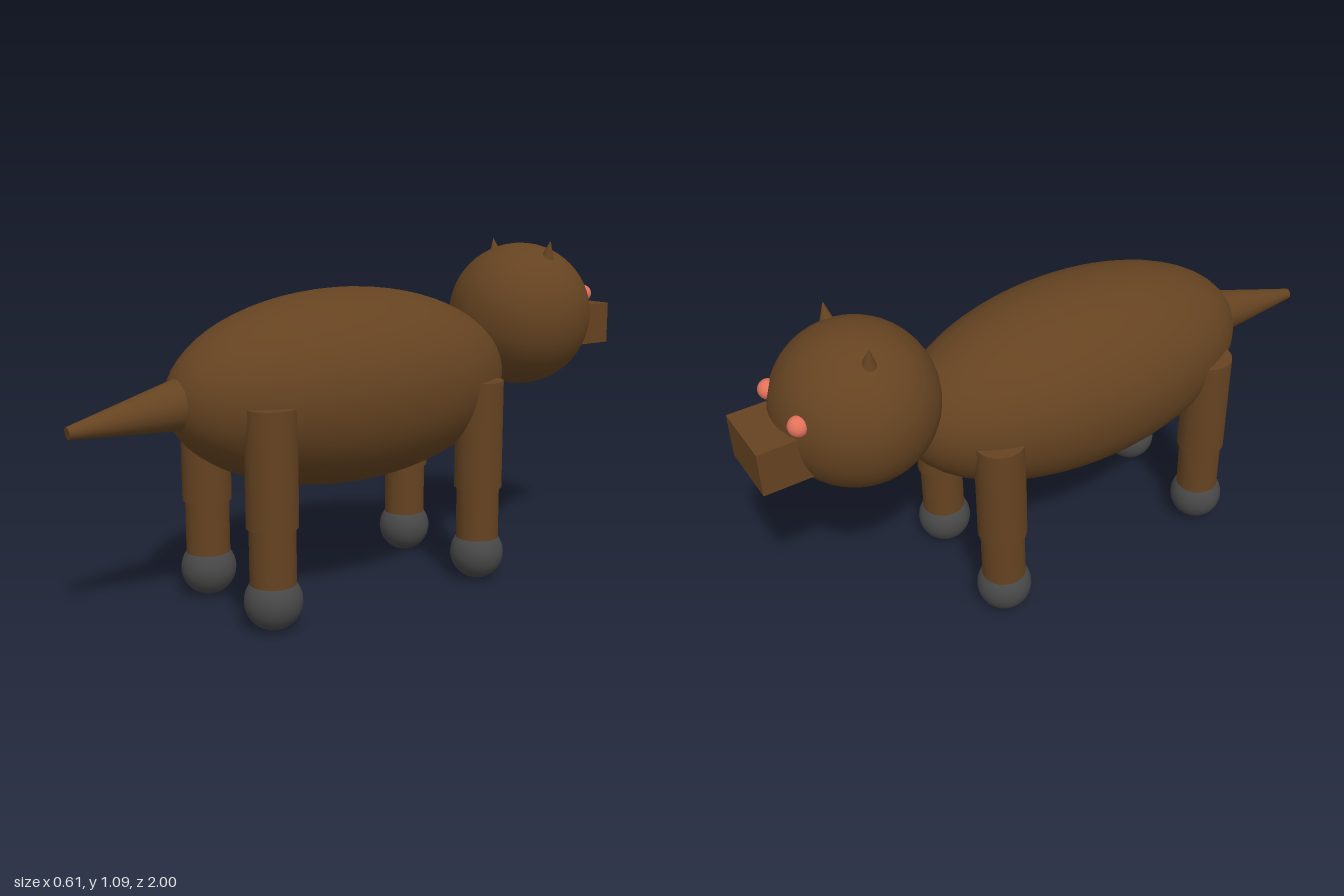
import * as THREE from 'three';

export function createModel() {
  const group = new THREE.Group();
  const brown = new THREE.MeshStandardMaterial({ color: 0x654321 });
  brown.name = 'brown fur';
  const grey = new THREE.MeshStandardMaterial({ color: 0x484848 });
  grey.name = 'grey paw';
  const red = new THREE.MeshStandardMaterial({ color: 0xe2725b });
  red.name = 'red eye';

  const add = (name, geometry, material, x, y, z) => {
    const mesh = new THREE.Mesh(geometry, material);
    mesh.name = name;
    mesh.position.set(x, y, z);
    group.add(mesh);
    return mesh;
  };

  // Tapered round part running from point a to point b
  const taper = (name, a, b, ra, rb) => {
    const from = new THREE.Vector3(...a), to = new THREE.Vector3(...b);
    const dir = to.clone().sub(from);
    const mid = from.clone().add(to).multiplyScalar(0.5);
    const mesh = add(name, new THREE.CylinderGeometry(rb, ra, dir.length(), 32), brown, mid.x, mid.y, mid.z);
    mesh.quaternion.setFromUnitVectors(new THREE.Vector3(0, 1, 0), dir.normalize());
  };

  // Long oval body and round head
  add('body', new THREE.SphereGeometry(1, 48, 32), brown, 0, 0.66, 0.08).scale.set(0.305, 0.305, 0.61);
  add('head', new THREE.SphereGeometry(0.243, 40, 28), brown, 0, 0.835, -0.665);

  // Square muzzle
  add('muzzle', new THREE.BoxGeometry(0.21, 0.14, 0.22), brown, 0, 0.79, -0.89);

  // Tail, drooping slightly
  taper('tail', [0, 0.664, 0.62], [0, 0.618, 0.998], 0.083, 0.018);

  for (const side of [-1, 1]) {
    const sideName = side > 0 ? 'left' : 'right';
    taper(sideName + 'Ear', [side * 0.122, 1.0, -0.667], [side * 0.141, 1.09, -0.667], 0.034, 0);
    add(sideName + 'Eye', new THREE.SphereGeometry(0.03, 20, 14), red, side * 0.1, 0.9, -0.873);

    // Legs: thick upper, thinner lower, ball paw
    for (const [end, z] of [['Front', -0.315], ['Hind', 0.473]]) {
      const x = side * 0.193, name = sideName + end;
      add(name + 'UpperLeg', new THREE.CylinderGeometry(0.077, 0.077, 0.35, 32), brown, x, 0.485, z);
      add(name + 'LowerLeg', new THREE.CylinderGeometry(0.069, 0.069, 0.22, 32), brown, x, 0.21, z);
      add(name + 'Paw', new THREE.SphereGeometry(0.087, 28, 20), grey, x, 0.088, z);
    }
  }
  return group;
}
